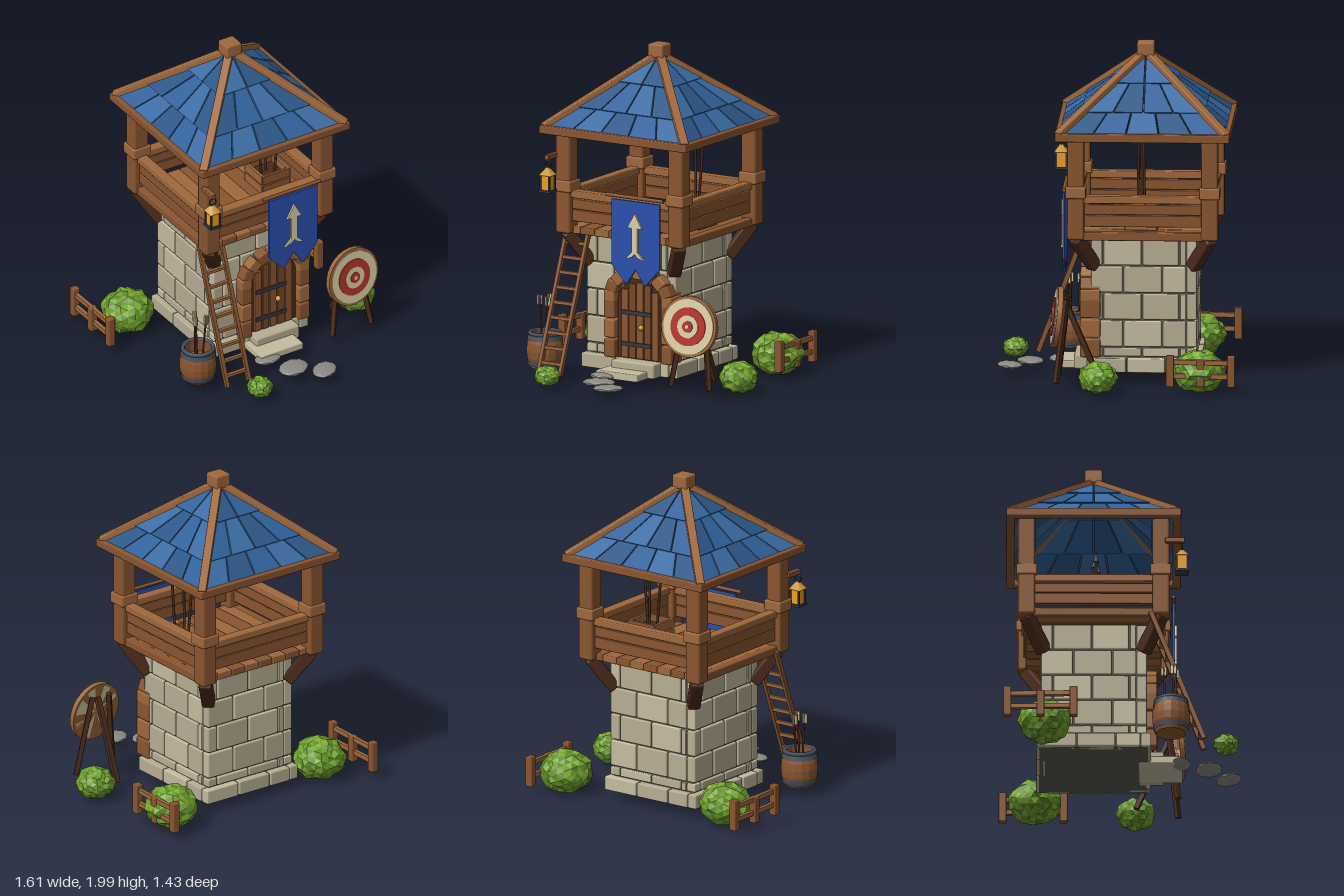
import * as THREE from 'three';
import { RoundedBoxGeometry } from 'three/addons/geometries/RoundedBoxGeometry.js';

const mat = (color, extra = {}) => new THREE.MeshStandardMaterial({ color, ...extra });
const M = {
  wood: mat(0x8a5530), light: mat(0xa0683c), dark: mat(0x4a2a1a), plank: mat(0x7a4827),
  stone: mat(0xb8ae94), stone2: mat(0xc6bca0), mortar: mat(0x6a6455), under: mat(0x55554f),
  rock: mat(0x8a8982, { flatShading: true }), iron: mat(0x35383f), band: mat(0x47505c),
  roof: [mat(0x30609a), mat(0x2b5686), mat(0x3a6ba3)],
  leaf: [mat(0x6f9f2c, { flatShading: true }), mat(0x58862a, { flatShading: true }), mat(0x84b236, { flatShading: true })],
  banner: mat(0x2b4fae), cream: mat(0xdccfa6), red: mat(0xb8322a), glow: mat(0xf0a020), gold: mat(0xd8a040),
};
const V = (x, y, z) => new THREE.Vector3(x, y, z);

function add(parent, name, geo, material, x = 0, y = 0, z = 0) {
  const m = new THREE.Mesh(geo, material);
  m.name = name;
  m.position.set(x, y, z);
  parent.add(m);
  return m;
}
function group(parent, name, x = 0, y = 0, z = 0) {
  const g = new THREE.Group();
  g.name = name;
  g.position.set(x, y, z);
  parent.add(g);
  return g;
}
// Box with slightly softened edges
const block = (p, n, w, h, d, m, x, y, z) =>
  add(p, n, new RoundedBoxGeometry(w, h, d, 1, Math.min(w, h, d) * 0.14), m, x, y, z);
// Square beam between two points
function beam(p, n, a, b, w, h, m) {
  const c = a.clone().add(b).multiplyScalar(0.5);
  const o = block(p, n, w, h, a.distanceTo(b), m, c.x, c.y, c.z);
  o.quaternion.setFromRotationMatrix(new THREE.Matrix4().lookAt(b, a, V(0, 1, 0.001)));
  return o;
}
// Round rod between two points
function rod(p, n, a, b, r, m, r2 = r) {
  const c = a.clone().add(b).multiplyScalar(0.5);
  const o = add(p, n, new THREE.CylinderGeometry(r2, r, a.distanceTo(b), 8), m, c.x, c.y, c.z);
  o.quaternion.setFromUnitVectors(V(0, 1, 0), b.clone().sub(a).normalize());
  return o;
}
const shapeOf = pts => new THREE.Shape(pts.map(p => new THREE.Vector2(...p)));
const plate = (shape, depth) => new THREE.ExtrudeGeometry(shape, { depth, bevelEnabled: false, curveSegments: 16 });

// Four walls of blocks laid pinwheel fashion so the corners interlock
function masonry(p, name, half, y0, y1, joints, depth, seed) {
  for (let f = 0; f < 4; f++) {
    const side = group(p, name);
    side.rotation.y = f * Math.PI / 2;
    const cuts = [-half, ...joints, half - depth];
    for (let i = 0; i < cuts.length - 1; i++) {
      block(side, name + 'Block', cuts[i + 1] - cuts[i] - 0.008, y1 - y0 - 0.008, depth,
        (i + f + seed) % 3 ? M.stone : M.stone2, (cuts[i] + cuts[i + 1]) / 2, (y0 + y1) / 2, half - depth / 2);
    }
  }
}

function buildTower(p) {
  add(p, 'wallCore', new THREE.BoxGeometry(0.59, 0.78, 0.59), M.mortar, 0, 0.485, 0);
  add(p, 'underside', new THREE.BoxGeometry(0.64, 0.07, 0.64), M.under, 0, 0.107, 0);
  masonry(p, 'plinth', 0.338, 0.068, 0.162, [-0.1, 0.13], 0.06, 1);
  [0.162, 0.22, 0.383, 0.545, 0.708, 0.875].forEach((y, i, ys) => {
    if (i < 5) masonry(p, 'wall', 0.313, y, ys[i + 1], i % 2 ? [-0.12, 0.11] : [-0.24, -0.01, 0.21], 0.06, i);
  });
}

function buildPlatform(p) {
  for (let i = 0; i < 8; i++) block(p, 'floorPlank', 0.098, 0.045, 0.8, i % 2 ? M.wood : M.light, -0.35 + i * 0.1, 0.905, 0);
  for (let f = 0; f < 4; f++) {
    const s = group(p, 'platformSide');
    s.rotation.y = f * Math.PI / 2;
    if (f % 2) block(s, 'floorBeam', 0.72, 0.05, 0.05, M.wood, 0, 0.905, 0.4);
    block(s, 'topRail', 0.72, 0.045, 0.06, M.light, 0, 1.125, 0.395);
    block(s, 'middleRail', 0.72, 0.06, 0.035, M.wood, 0, 1.064, 0.395);
    block(s, 'lowerRail', 0.72, 0.068, 0.035, M.wood, 0, 0.995, 0.395);
    block(s, 'cornerPost', 0.1, 0.62, 0.1, M.wood, 0.395, 1.195, 0.395);
    block(s, 'postCollar', 0.122, 0.07, 0.122, M.light, 0.395, 1.17, 0.395);
    beam(s, 'cornerBrace', V(0.29, 0.7, 0.29), V(0.395, 0.89, 0.395), 0.075, 0.075, M.dark);
  }
}

function buildRoof(p) {
  const H = 0.5, eave = 1.515, rise = 0.395, L = Math.hypot(H, rise), slope = Math.atan2(rise, H);
  const rows = [[0, 0.31, 5], [0.29, 0.66, 4], [0.64, 0.985, 2]];
  for (let f = 0; f < 4; f++) {
    const turn = group(p, 'roofSide');
    turn.rotation.y = f * Math.PI / 2;
    const face = group(turn, 'roofFace', 0, eave, H);
    face.rotation.x = slope - Math.PI / 2;
    rows.forEach(([a, b, n], r) => {
      for (let i = 0; i < n; i++) {
        const u = (t, k, g) => H * (1 - t) * (-1 + 2 * k / n) + g * Math.min(0.004, H * (1 - t) / n);
        const s = shapeOf([[u(a, i, 1), a * L], [u(a, i + 1, -1), a * L], [u(b, i + 1, -1), b * L], [u(b, i, 1), b * L]]);
        add(face, 'shingle', plate(s, 0.018), M.roof[(i * 2 + r + f) % 3], 0, 0, r * 0.007 - 0.01);
      }
    });
    block(turn, 'eaveBeam', 1.03, 0.05, 0.05, M.wood, 0, 1.511, 0.49);
    beam(turn, 'hipBeam', V(0.495, 1.525, 0.495), V(0.02, 1.92, 0.02), 0.05, 0.045, M.light);
  }
  block(p, 'roofCap', 0.105, 0.085, 0.105, M.light, 0, 1.9575, 0);
}

function buildDoor(p) {
  const cy = 0.485, arch = new THREE.Shape();
  arch.moveTo(-0.165, 0.16).lineTo(0.165, 0.16).lineTo(0.165, cy).absarc(0, cy, 0.165, 0, Math.PI, false).lineTo(-0.165, 0.16);
  add(p, 'doorFrame', plate(arch, 0.07), M.dark, 0, 0, 0.1);
  for (let i = 0; i < 5; i++) {
    const x = (i - 2) * 0.053, top = cy + Math.sqrt(0.14 ** 2 - x * x);
    block(p, 'doorPlank', 0.048, top - 0.165, 0.03, i % 2 ? M.plank : M.wood, x, (top + 0.165) / 2, 0.172);
  }
  for (const y of [0.25, 0.44]) add(p, 'doorStrap', new THREE.BoxGeometry(0.21, 0.025, 0.012), M.iron, -0.02, y, 0.19);
  add(p, 'doorKnob', new THREE.SphereGeometry(0.017, 12, 8), M.gold, 0.02, 0.36, 0.205);
  for (const s of [-1, 1]) for (let i = 0; i < 3; i++) {
    block(p, 'jambBlock', 0.075, 0.112, 0.12, i % 2 ? M.light : M.wood, s * 0.2, 0.215 + i * 0.118, 0.155);
  }
  for (let i = 0; i < 9; i++) {
    const a = Math.PI * i / 8;
    block(p, 'archBlock', 0.075, 0.073, 0.12, i % 2 ? M.wood : M.light, Math.cos(a) * 0.2, cy + 0.045 + Math.sin(a) * 0.155, 0.155).rotation.z = a;
  }
  block(p, 'lowerStep', 0.29, 0.045, 0.26, M.stone2, -0.05, 0.09, 0.235);
  block(p, 'upperStep', 0.3, 0.09, 0.15, M.stone, -0.01, 0.115, 0.18);
}

function buildBanner(p) {
  rod(p, 'bannerPole', V(-0.21, 1.165, 0.005), V(0.19, 1.165, 0.005), 0.011, M.wood);
  add(p, 'bannerCloth', plate(shapeOf([[-0.168, 1.145], [-0.168, 0.75], [-0.065, 0.64], [0, 0.735], [0.065, 0.64], [0.168, 0.75], [0.168, 1.145]]), 0.014), M.banner);
  add(p, 'bannerArrow', plate(shapeOf([[0, 1.075], [-0.05, 0.985], [-0.02, 0.985], [-0.02, 0.84], [-0.065, 0.795], [-0.02, 0.81], [0, 0.83],
    [0.02, 0.81], [0.065, 0.795], [0.02, 0.84], [0.02, 0.985], [0.05, 0.985]]), 0.012), M.cream, 0, 0, 0.014);
}

function buildLantern(p) {
  beam(p, 'lanternArm', V(0, 1.352, -0.1), V(0, 1.352, 0.015), 0.032, 0.03, M.wood);
  add(p, 'lanternRing', new THREE.TorusGeometry(0.022, 0.005, 6, 14), M.iron, 0, 1.31, 0);
  add(p, 'lanternCap', new THREE.CylinderGeometry(0.012, 0.055, 0.045, 4, 1, false, Math.PI / 4), M.gold, 0, 1.268, 0);
  add(p, 'lanternGlass', new THREE.BoxGeometry(0.055, 0.1, 0.055), M.glow, 0, 1.198, 0);
  add(p, 'lanternBase', new THREE.BoxGeometry(0.078, 0.014, 0.078), M.iron, 0, 1.15, 0);
  for (const x of [-0.03, 0.03]) for (const z of [-0.03, 0.03]) add(p, 'lanternBar', new THREE.BoxGeometry(0.01, 0.1, 0.01), M.iron, x, 1.2, z);
}

function buildLadder(p) {
  for (const x of [-0.455, -0.305]) beam(p, 'ladderRail', V(x, 0.075, 0.49), V(x, 0.9, 0.175), 0.024, 0.03, M.wood);
  for (let i = 0; i < 9; i++) {
    const y = 0.14 + i * 0.085, z = 0.49 - (y - 0.075) * 0.382;
    block(p, 'ladderRung', 0.15, 0.02, 0.022, M.light, -0.38, y, z);
  }
}

function buildBarrel(p) {
  const prof = [[0, 0.07], [0.088, 0.07], [0.108, 0.13], [0.112, 0.175], [0.108, 0.22], [0.092, 0.28], [0.078, 0.28], [0.085, 0.2], [0, 0.2]];
  add(p, 'barrelBody', new THREE.LatheGeometry(prof.map(q => new THREE.Vector2(...q)), 16), mat(0x8a5530, { flatShading: true, side: THREE.DoubleSide }));
  for (const [y, r] of [[0.1, 0.104], [0.255, 0.104]]) add(p, 'barrelHoop', new THREE.CylinderGeometry(r + (y > 0.2 ? -0.002 : 0.004), r + (y > 0.2 ? 0.004 : -0.002), 0.03, 16, 1, true), mat(0x47505c, { side: THREE.DoubleSide }), 0, y, 0);
  add(p, 'barrelRim', new THREE.TorusGeometry(0.09, 0.013, 6, 20), M.band, 0, 0.278, 0).rotation.x = Math.PI / 2;
  [[-0.03, 0.01], [0.0, -0.03], [0.035, 0.02]].forEach(([x, z]) => {
    rod(p, 'arrowShaft', V(x * 0.4, 0.18, z), V(x + 0.005, 0.5, z * 1.5), 0.006, M.dark);
    for (const r of [0, Math.PI / 2]) add(p, 'arrowFletching', new THREE.BoxGeometry(0.034, 0.055, 0.004), M.cream, x + 0.003, 0.475, z * 1.45).rotation.y = r;
  });
}

function buildTarget(p) {
  const disc = group(p, 'targetDisc', 0, 0.444, 0);
  disc.rotation.set(-0.12, 0.1, 0);
  [[0.182, M.light, 0.03], [0.165, M.cream, 0.036], [0.115, M.red, 0.041], [0.068, M.cream, 0.045], [0.034, M.red, 0.049], [0.012, M.cream, 0.053]].forEach(([r, m, d]) => {
    add(disc, 'targetRing', new THREE.CylinderGeometry(r, r, d, 28), m, 0, 0, d / 2 - 0.015).rotation.x = Math.PI / 2;
  });
  for (const s of [-1, 1]) beam(p, 'targetLeg', V(s * 0.135, 0.07, 0), V(s * 0.06, 0.56, -0.06), 0.03, 0.03, M.dark);
  beam(p, 'targetBackLeg', V(0.02, 0.075, -0.25), V(0.01, 0.55, -0.045), 0.032, 0.032, M.dark);
}

function buildCrate(p) {
  for (const s of [-1, 1]) for (const y of [0.96, 1.025]) {
    block(p, 'crateSlat', 0.19, 0.058, 0.02, M.wood, 0, y, s * 0.09);
    block(p, 'crateSlat', 0.02, 0.058, 0.19, M.light, s * 0.09, y, 0);
  }
  add(p, 'crateFloor', new THREE.BoxGeometry(0.17, 0.08, 0.17), M.dark, 0, 0.97, 0);
  [[-0.085, 0], [0.0, -0.02], [0.075, 0.02]].forEach(([x, z]) => {
    const a = V(x * 0.45, 0.95, z), b = V(x, 1.5, z * 0.6);
    rod(p, 'spearShaft', a, b, 0.008, M.dark);
    rod(p, 'spearHead', b, b.clone().add(V(x * 0.1, 0.07, 0)), 0.018, M.band, 0.001);
  });
}

function buildFence(p, x, zs) {
  const f = group(p, 'fence', x);
  zs.forEach((z, i) => block(f, 'fencePost', 0.046, i === 1 ? 0.16 : 0.187, 0.046, M.wood, 0, i === 1 ? 0.15 : 0.163, z));
  for (const y of [0.13, 0.212]) beam(f, 'fenceRail', V(0, y, zs[0]), V(0, y + 0.005, zs[2]), 0.026, 0.03, M.light);
}

// Leafy lump: displaced facets in three greens
function buildBush(p, x, y, z, r, ry) {
  const g = new THREE.IcosahedronGeometry(1, 3), q = g.attributes.position, v = V(0, 0, 0);
  for (let i = 0; i < q.count; i++) {
    v.fromBufferAttribute(q, i);
    v.multiplyScalar(0.96 + 0.06 * Math.sin(v.x * 9 + x * 20) * Math.sin(v.y * 8 + 1) + 0.05 * Math.sin(v.z * 10 + v.x * 5));
    q.setXYZ(i, v.x * r, v.y * ry, v.z * r);
    if (i % 3 === 0) g.addGroup(i, 3, (i * 7 + Math.floor(i / 9) * 5) % 11 % 3);
  }
  g.computeVertexNormals();
  add(p, 'bush', g, M.leaf, x, y, z);
}

export function createModel() {
  const root = new THREE.Group();
  root.name = 'archerWatchtower';
  const tower = group(root, 'tower', -0.028, 0, -0.16);
  buildTower(tower);
  buildPlatform(tower);
  buildRoof(tower);
  buildDoor(group(root, 'door', 0.058, 0, 0));
  buildBanner(group(root, 'banner', 0.113, 0, 0.305));
  buildLantern(group(root, 'lantern', -0.475, 0, 0.36));
  buildLadder(group(root, 'ladder'));
  buildBarrel(group(root, 'barrel', -0.537, 0, 0.295));
  buildTarget(group(root, 'target', 0.508, 0, 0.34));
  buildCrate(group(root, 'spearCrate', 0.225, 0, -0.145));
  buildFence(root, -0.785, [-0.67, -0.475, -0.28]);
  buildFence(root, 0.7, [-0.695, -0.515, -0.335]);
  buildBush(root, -0.555, 0.14, -0.45, 0.16, 0.13);
  buildBush(root, 0.58, 0.14, -0.505, 0.16, 0.13);
  buildBush(root, 0.69, 0.117, 0.09, 0.118, 0.097);
  buildBush(root, -0.31, 0.103, 0.62, 0.078, 0.062);
  [[-0.09, 0.355, 0.085, 0.06], [-0.013, 0.52, 0.1, 0.08], [0.128, 0.637, 0.09, 0.07]].forEach(([x, z, rx, rz], i) => {
    const s = add(root, 'steppingStone', new THREE.IcosahedronGeometry(1, 1), M.rock, x, 0.08, z);
    s.scale.set(rx, 0.022, rz);
    s.rotation.y = i * 0.3;
  });
  return root;
}
